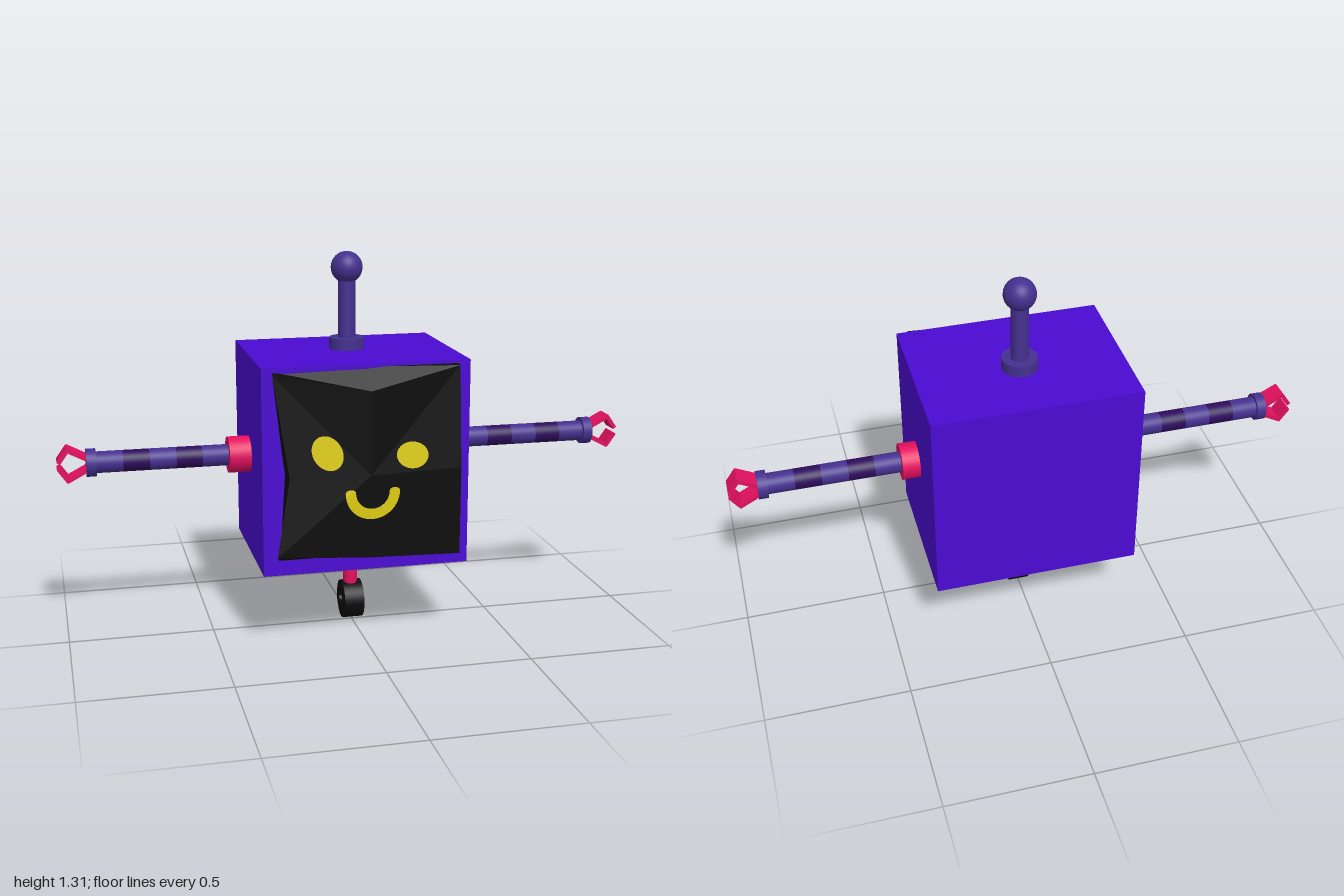
import * as THREE from 'three';

const mat = (name, color) => {
  const m = new THREE.MeshStandardMaterial({ color });
  m.name = name;
  return m;
};

export function createModel() {
  const violet = mat('violet', 0x4b0ad2);
  const indigo = mat('indigo', 0x45308f);
  const darkPurple = mat('dark purple', 0x2e0b5c);
  const pink = mat('pink', 0xe3105f);
  const black = mat('black', 0x0c0c0c);
  const yellow = mat('yellow', 0xdccb12);

  const model = new THREE.Group();
  model.name = 'robot';
  const add = (parent, name, geometry, material, x = 0, y = 0, z = 0) => {
    const mesh = new THREE.Mesh(geometry, material);
    mesh.name = name;
    mesh.position.set(x, y, z);
    parent.add(mesh);
    return mesh;
  };
  // Upright cylinder between two heights
  const post = (name, material, z, y0, y1, rBottom, rTop = rBottom) =>
    add(model, name, new THREE.CylinderGeometry(rTop, rBottom, y1 - y0, 32), material, 0, (y0 + y1) / 2, z);
  // Cylinder along x between two positions
  const rod = (parent, name, material, x0, x1, r) => {
    const g = new THREE.CylinderGeometry(r, r, x1 - x0, 32).rotateZ(Math.PI / 2);
    return add(parent, name, g, material, (x0 + x1) / 2);
  };

  // Body
  add(model, 'body', new THREE.BoxGeometry(0.71, 0.71, 0.546), violet, 0, 0.62, -0.045);

  // Antenna
  post('antennaBase', indigo, -0.075, 0.97, 1.015, 0.061);
  post('antennaRod', indigo, -0.075, 1.01, 1.24, 0.03);
  add(model, 'antennaBall', new THREE.SphereGeometry(0.055, 32, 20), indigo, 0, 1.257, -0.075);

  // Leg and wheel
  post('legSocket', indigo, -0.025, 0.21, 0.27, 0.06);
  post('legSocketTaper', indigo, -0.025, 0.19, 0.21, 0.042, 0.055);
  post('leg', pink, -0.025, 0.1, 0.2, 0.025);
  const wheel = new THREE.Group();
  wheel.name = 'wheel';
  wheel.position.set(0.003, 0.068, -0.027);
  model.add(wheel);
  rod(wheel, 'tyre', black, -0.035, 0.035, 0.068);
  rod(wheel, 'axle', black, -0.046, 0.046, 0.018);

  // Arms, built along +x and turned round for the right side
  const makeArm = (name, y, collarEnd, cuffStart, armR) => {
    const arm = new THREE.Group();
    arm.name = name;
    arm.position.set(0, y, -0.047);
    model.add(arm);
    rod(arm, 'shoulderCollar', pink, 0.35, collarEnd, 0.063);
    const step = (cuffStart - collarEnd) / 5;
    for (let i = 0; i < 5; i++) {
      const x = collarEnd + i * step;
      rod(arm, 'armBand', i % 2 ? darkPurple : indigo, x, x + step, armR);
    }
    const wrist = cuffStart + 0.033;
    rod(arm, 'cuff', indigo, cuffStart, wrist, 0.048);
    // Bent claw fingers, one above and one below
    for (const s of [1, -1]) {
      const pts = [[wrist - 0.01, 0.015], [wrist + 0.062, 0.053], [wrist + 0.09, 0.013]];
      for (let i = 0; i < 2; i++) {
        const [ax, ay] = pts[i], [bx, by] = pts[i + 1];
        const g = new THREE.BoxGeometry(Math.hypot(bx - ax, by - ay) + 0.008, 0.014, 0.066);
        const f = add(arm, 'clawFinger', g, pink, (ax + bx) / 2, s * (ay + by) / 2);
        f.rotation.z = s * Math.atan2(by - ay, bx - ax);
      }
    }
    return arm;
  };
  makeArm('leftArm', 0.638, 0.415, 0.868, 0.036);
  makeArm('rightArm', 0.623, 0.43, 0.88, 0.037).rotation.y = Math.PI;

  // Warped screen: front rim counter-clockwise from bottom left, with its back rim
  const rim = [
    [-0.323, 0.358, 0.318], [0, 0.325, 0.285], [0.312, 0.315, 0.28], [0.312, 0.62, 0.283],
    [0.312, 0.962, 0.252], [0, 0.895, 0.288], [-0.323, 0.956, 0.255], [-0.275, 0.615, 0.287],
  ];
  const back = [[-0.3, 0.315], [0, 0.315], [0.312, 0.315], [0.312, 0.62],
    [0.312, 0.965], [0, 0.965], [-0.315, 0.96], [-0.28, 0.615]].map(([x, y]) => [x, y, 0.222]);
  const centre = [0, 0.61, 0.286];
  const tris = [];
  rim.forEach((f, i) => {
    const j = (i + 1) % rim.length;
    tris.push(centre, f, rim[j], f, back[i], back[j], f, back[j], rim[j]);
  });
  const screen = new THREE.BufferGeometry();
  screen.setAttribute('position', new THREE.Float32BufferAttribute(tris.flat(), 3));
  screen.computeVertexNormals();
  add(model, 'screen', screen, black);

  // Height of the screen surface at (x, y), from its fan of triangles
  const screenZ = (x, y) => {
    for (let i = 0; i < rim.length; i++) {
      const a = rim[i], b = rim[(i + 1) % rim.length], c = centre;
      const d = (a[0] - c[0]) * (b[1] - c[1]) - (b[0] - c[0]) * (a[1] - c[1]);
      const u = ((x - c[0]) * (b[1] - c[1]) - (b[0] - c[0]) * (y - c[1])) / d;
      const v = ((a[0] - c[0]) * (y - c[1]) - (x - c[0]) * (a[1] - c[1])) / d;
      if (u >= 0 && v >= 0) return c[2] + u * (a[2] - c[2]) + v * (b[2] - c[2]);
    }
    return centre[2];
  };
  // Lay a flat shape onto the screen
  const drape = (name, g, x, y) => {
    g.translate(x, y, 0);
    const p = g.attributes.position;
    for (let i = 0; i < p.count; i++) p.setZ(i, screenZ(p.getX(i), p.getY(i)) + 0.004);
    g.computeVertexNormals();
    add(model, name, g, yellow);
  };
  const eye = (rx, ry, tilt) => new THREE.RingGeometry(0, 1, 32, 4).scale(rx, ry, 1).rotateZ(tilt);
  drape('rightEye', eye(0.049, 0.062, 0.6), -0.147, 0.693);
  drape('leftEye', eye(0.055, 0.045, -0.15), 0.142, 0.672);
  drape('smile', new THREE.RingGeometry(0.058, 0.094, 40, 3, Math.PI, Math.PI), 0.004, 0.555);
  for (const s of [-1, 1]) drape('smileEnd', eye(0.018, 0.012, 0), 0.004 + s * 0.076, 0.555);

  return model;
}
